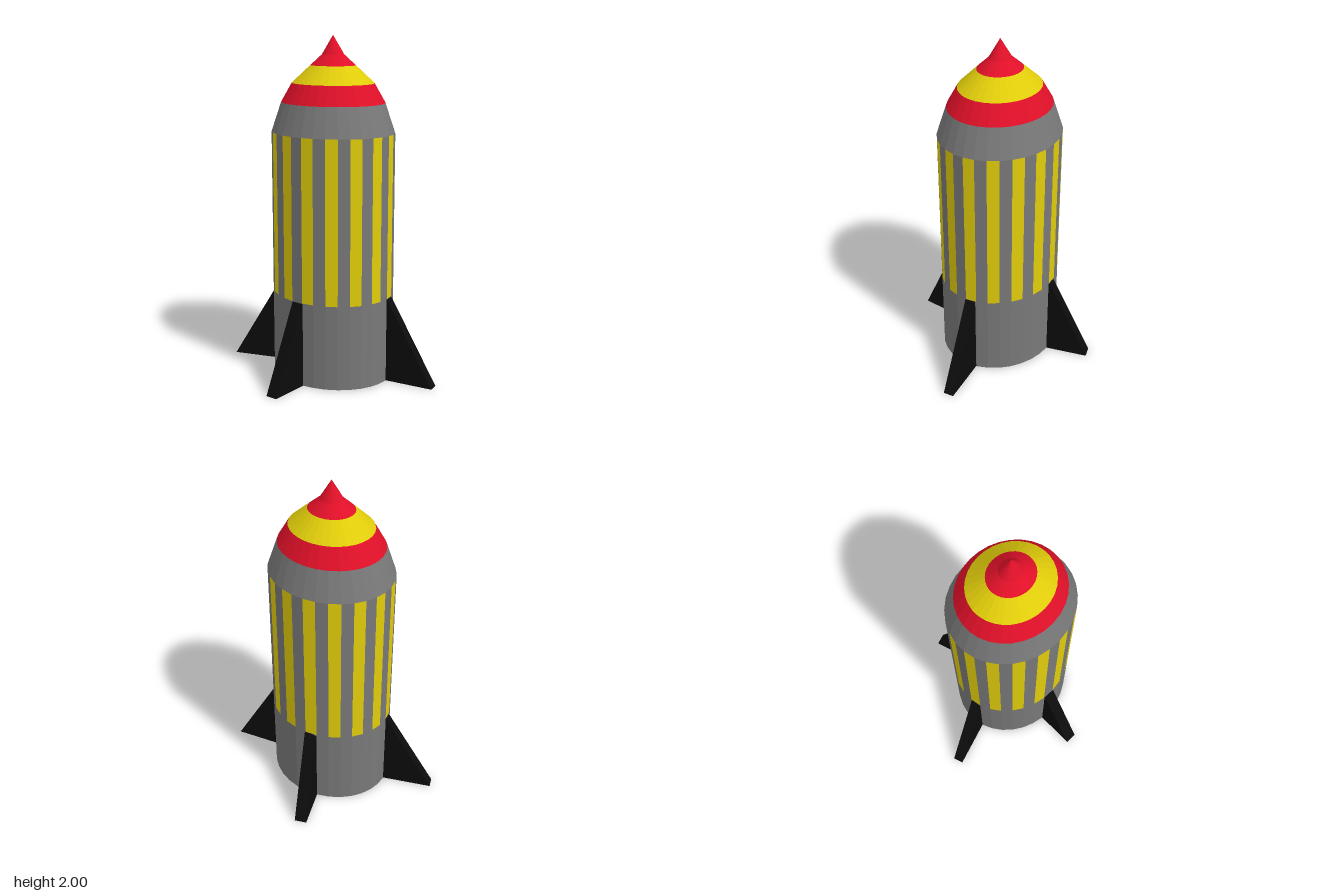
import * as THREE from 'three';
import { mergeGeometries } from 'three/addons/utils/BufferGeometryUtils.js';

const SIDES = 32;
const GREY = 0x787878, YELLOW = 0xe0cc0a, RED = 0xe01028, BLACK = 0x0c0c0c;

function part(name, geometry, color) {
  const material = new THREE.MeshStandardMaterial({ color, flatShading: true });
  const mesh = new THREE.Mesh(geometry, material);
  mesh.name = name;
  return mesh;
}

// Open ring of the hull between two heights, covering `count` facets from `first`
function band(y0, r0, y1, r1, first = 0, count = SIDES) {
  const step = (Math.PI * 2) / SIDES;
  return new THREE.CylinderGeometry(r1, r0, y1 - y0, count, 1, true, first * step, count * step)
    .translate(0, (y0 + y1) / 2, 0);
}

// Every second facet of the striped section
function stripes(offset) {
  const list = [];
  for (let i = offset; i < SIDES; i += 2) list.push(band(0.5, 1, 1.45, 1, i, 1));
  return mergeGeometries(list);
}

// Triangular fin from a root point on the hull to a tip on the ground
function fin(name, rootX, rootZ, tipX, tipZ, width) {
  const dx = tipX - rootX, dz = tipZ - rootZ;
  const shape = new THREE.Shape();
  shape.moveTo(-0.05, 0.002);
  shape.lineTo(0, 0);
  shape.lineTo(Math.hypot(dx, dz), 0);
  shape.lineTo(0, 0.498);
  shape.lineTo(-0.05, 0.498);
  const geometry = new THREE.ExtrudeGeometry(shape, { depth: width, bevelEnabled: false })
    .translate(0, 0, -width / 2);
  const mesh = part(name, geometry, BLACK);
  mesh.position.set(rootX, 0, rootZ);
  mesh.rotation.y = Math.atan2(-dz, dx);
  return mesh;
}

export function createModel() {
  const model = new THREE.Group();
  model.name = 'rocket';

  // Hull of unit radius, squashed to a slightly oval section
  const hull = new THREE.Group();
  hull.name = 'hull';
  hull.scale.set(0.377, 1, 0.337);
  hull.position.set(-0.007, 0, -0.011);
  hull.add(
    part('lowerBody', band(0, 1, 0.5, 1), GREY),
    part('greyStripes', stripes(0), GREY),
    part('yellowStripes', stripes(1), YELLOW),
    part('shoulder', band(1.45, 1, 1.62, 0.84), GREY),
    part('lowerRedBand', band(1.62, 0.84, 1.73, 0.665), RED),
    part('yellowBand', band(1.73, 0.665, 1.83, 0.365), YELLOW),
    part('noseCone', mergeGeometries([band(1.83, 0.365, 1.89, 0.18), band(1.89, 0.18, 2, 0)]), RED)
  );

  // Underside: dark ring around a lighter exhaust disc
  hull.add(
    part('baseRing', new THREE.RingGeometry(0.265, 1, SIDES).rotateX(Math.PI / 2), 0x383838),
    part('exhaust', new THREE.CircleGeometry(0.265, SIDES).rotateX(Math.PI / 2), 0x808080)
  );
  model.add(hull);

  // Four fins, set at uneven angles
  model.add(
    fin('frontFin', 0.034, 0.326, 0.06, 0.56, 0.072),
    fin('backFin', -0.114, -0.334, -0.217, -0.557, 0.072),
    fin('leftFin', 0.357, -0.105, 0.634, -0.183, 0.062),
    fin('rightFin', -0.362, 0.086, -0.634, 0.214, 0.062)
  );
  return model;
}
